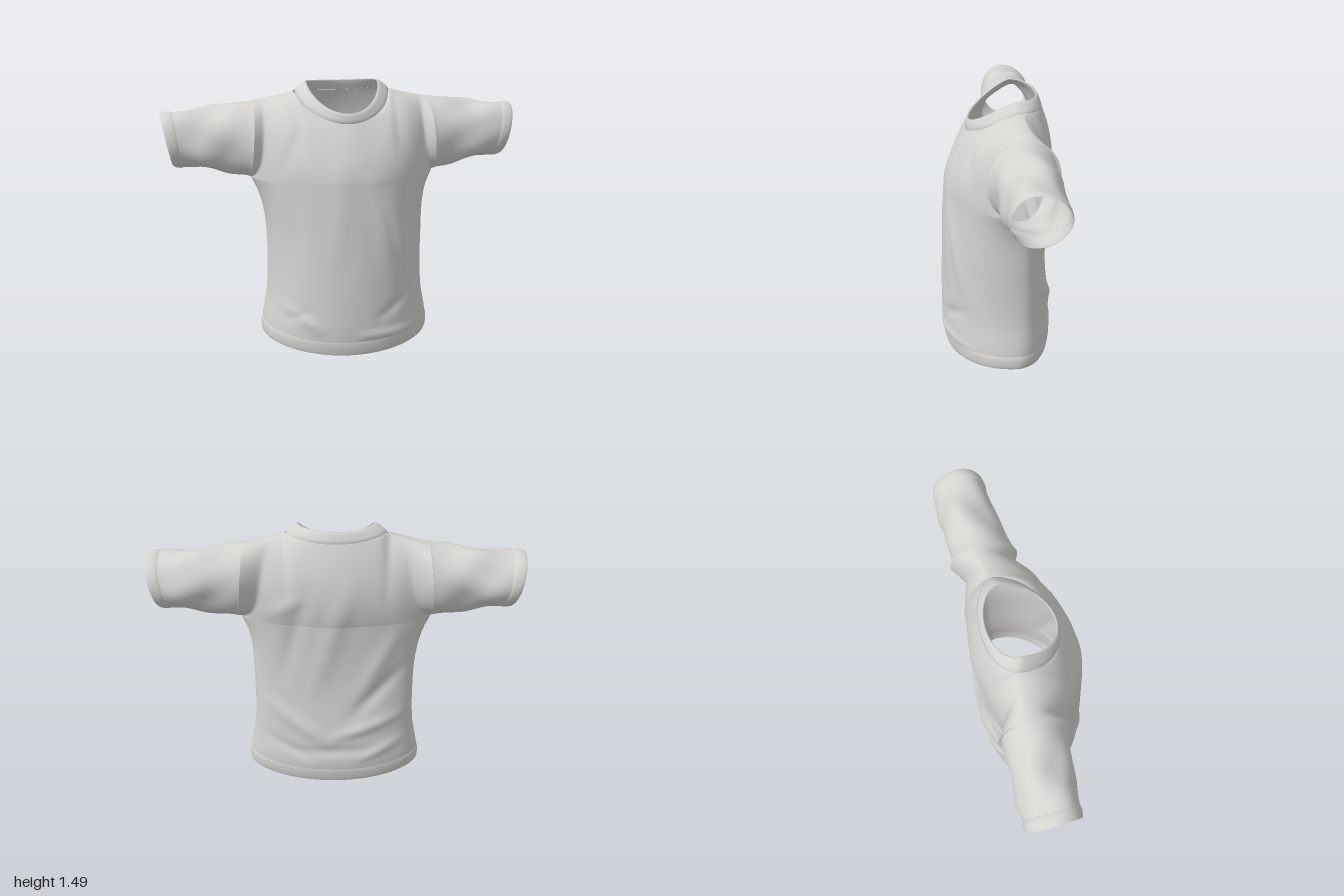
import * as THREE from 'three';

const { lerp, smoothstep, clamp } = THREE.MathUtils;
const PIT = 0.97;       // armpit height
const SPLIT = 0.6;      // share of the panel rows below the armpit
const NECK = 0.26;      // half width of the neckline

// Smooth curve through a few heights
const curve = (t, v) => {
  const c = new THREE.CubicInterpolant(t, v, 1);
  return (x) => c.evaluate(x)[0];
};
const heights = [0, 0.12, 0.3, 0.6, 0.8, 0.9, PIT];
const halfWidth = curve(heights, [0.49, 0.485, 0.455, 0.448, 0.458, 0.466, 0.472]);
const pitFlare = curve(heights, [0, 0, 0, 0, 0.004, 0.022, 0.05]);
const frontZ = curve(heights, [0.305, 0.318, 0.32, 0.31, 0.298, 0.29, 0.285]);
const backZ = curve(heights, [-0.295, -0.31, -0.295, -0.268, -0.27, -0.276, -0.281]);

// Cloth folds: x0, y0, x1, y1, width, height
const frontFolds = [
  [0.18, 0.95, 0.42, 0.2, 0.035, 0.022], [0.1, 1.05, 0.27, 0.25, 0.05, 0.012],
  [-0.3, 1.0, -0.33, 0.35, 0.05, -0.012], [0, 0.12, 0.46, 0.11, 0.022, 0.016],
  [0.12, 0.2, 0.4, 0.36, 0.03, -0.012], [-0.42, 0.3, -0.15, 0.13, 0.03, 0.016],
  [-0.4, 0.18, -0.22, 0.26, 0.025, -0.012], [-0.05, 1.15, -0.1, 0.5, 0.06, 0.008],
  [0.25, 1.3, 0.38, 1.0, 0.035, -0.01], [-0.25, 1.3, -0.38, 1.0, 0.035, -0.01],
];
const backFolds = [
  [-0.1, 1.3, 0.15, 0.5, 0.06, 0.014], [0.15, 1.25, 0.3, 0.6, 0.05, -0.016],
  [-0.38, 1.0, -0.1, 0.5, 0.05, 0.014], [-0.42, 0.75, -0.05, 0.38, 0.04, -0.016],
  [-0.42, 0.42, 0.05, 0.28, 0.035, 0.018], [0.43, 0.52, 0, 0.22, 0.04, 0.018],
  [0.42, 0.28, 0.1, 0.14, 0.03, -0.014], [-0.42, 0.26, -0.1, 0.14, 0.03, 0.014],
  [0.4, 1.0, 0.15, 1.15, 0.04, 0.01], [-0.25, 0.2, 0.25, 0.2, 0.03, -0.012],
];
function foldDepth(folds, x, y) {
  let sum = 0;
  for (const [x0, y0, x1, y1, w, h] of folds) {
    const dx = x1 - x0, dy = y1 - y0;
    const k = clamp(((x - x0) * dx + (y - y0) * dy) / (dx * dx + dy * dy), 0, 1);
    const d2 = (x - x0 - k * dx) ** 2 + (y - y0 - k * dy) ** 2;
    sum += h * Math.sin(Math.PI * k) * Math.exp(-d2 / (w * w));
  }
  return sum;
}

// Neck loops, widest at the shoulder seam: c is the cosine around, +1 at the front
const neckBase = (c) => ({
  y: 1.442 - (c > 0 ? 0.155 * c ** 1.2 : 0.025 * c * c),
  z: -0.1 + (c > 0 ? 0.263 : 0.137) * c,
});
const neckRim = (c) => ({
  y: 1.487 - (c > 0 ? 0.145 * c ** 1.2 : 0.012 * c * c),
  z: -0.085 + (c > 0 ? 0.238 : 0.127) * c,
});

// Top edge of a panel: neckline, then shoulder seam
function topEdge(x, side) {
  const ax = Math.abs(x);
  if (ax < NECK) return neckBase(side * Math.sqrt(1 - (ax / NECK) ** 2));
  const k = (ax - NECK) / (0.49 - NECK);
  return { y: lerp(1.442, 1.385, k ** 0.7), z: lerp(-0.1, -0.12, k) };
}

// Point on the front (side 1) or back (side -1) panel; u runs across, v upward
function panelPoint(side, u, v) {
  const phi = (u - 0.5) * Math.PI;
  const across = Math.sin(phi), deep = Math.max(Math.cos(phi), 0);
  const centreZ = side > 0 ? frontZ : backZ;
  const folds = side > 0 ? frontFolds : backFolds;
  const bowAt = (h) => deep ** (side > 0 ? 0.98 : lerp(1.05, 0.76, smoothstep(h, 0, 0.5)));
  const flare = across * Math.abs(across) ** 9;
  let x, y, z;
  if (v <= SPLIT) {
    y = lerp(0.038 * across * across, PIT, v / SPLIT);
    x = halfWidth(y) * across + pitFlare(y) * flare + 0.012 * (1 - smoothstep(y, 0.6, 0.95));
    z = -0.08 + (centreZ(y) + 0.08) * bowAt(y);
  } else {
    const w = (v - SPLIT) / (1 - SPLIT);
    const k = (1 - Math.cos(Math.PI * w)) / 2;
    const arch = Math.sin(Math.PI * w);
    x = lerp(0.472, 0.49, k) * across + lerp(0.05, 0, k) * flare;
    const top = topEdge(0.49 * across, side);
    y = lerp(PIT, top.y, k);
    const round = 1 - Math.sqrt(Math.max(1 - k * k, 0));
    const ease = lerp(k ** 1.6, round, smoothstep(Math.abs(x), 0.08, 0.36));
    z = lerp(-0.08 + (centreZ(PIT) + 0.08) * bowAt(PIT), top.z, ease);
    if (side < 0) z -= 0.032 * arch * arch * deep ** 0.76;
    // Ease the panel out to the rounded armhole edge
    const hole = 0.185 * arch * Math.abs(across) ** 2.5;
    const d = hole - Math.max(side * (z - lerp(-0.08, -0.12, k)), 0);
    z += side * (d + Math.sqrt(d * d + (0.2 * hole * deep) ** 2)) / 2;
  }
  const calm = 1 - smoothstep(y, 1.2, 1.36);
  z += side * deep * calm * foldDepth(folds, x, y);
  return [x, y, z];
}

// Armhole loop, shared by panels and sleeves; a = 0 at the top, then over the front
function armhole(a) {
  const front = a <= 0.5;
  const w = front ? 1 - 2 * a : 2 * a - 1;
  return panelPoint(front ? 1 : -1, 1, SPLIT + (1 - SPLIT) * w);
}

// Point on the left sleeve; a runs around, t runs outward
function sleevePoint(a, t, grow = 0) {
  const ang = a * Math.PI * 2, c = Math.cos(ang), s = Math.sin(ang);
  const start = armhole(a);
  const end = [0.968 + 0.03 * c, 1.183 + 0.145 * c + 0.008 * Math.sin(2 * ang), -0.13 + 0.141 * s];
  const p = [lerp(start[0], end[0], t), lerp(start[1], end[1], t ** 0.85), lerp(start[2], end[2], t ** 0.65)];
  const crease = 0.007 * Math.sin(ang * 2 + t * 7) + 0.006 * Math.sin(ang * 3 - t * 9 + 1)
    + 0.005 * Math.sin(ang * 5 + t * 6);
  const r = crease * Math.sin(Math.PI * t) + grow;
  return [p[0], p[1] + c * r, p[2] + s * r];
}

// Surface over a grid of nu by nv cells, optionally closed around
function surface(name, material, nu, nv, point, wrap = false) {
  const pos = [], index = [];
  const cols = wrap ? nu : nu + 1;
  for (let j = 0; j <= nv; j++)
    for (let i = 0; i < cols; i++) pos.push(...point(i / nu, j / nv));
  for (let j = 0; j < nv; j++)
    for (let i = 0; i < nu; i++) {
      const a = j * cols + i, b = j * cols + ((i + 1) % cols);
      index.push(a, b, b + cols, a, b + cols, a + cols);
    }
  const g = new THREE.BufferGeometry();
  g.setAttribute('position', new THREE.Float32BufferAttribute(pos, 3));
  g.setIndex(index);
  g.computeVertexNormals();
  const mesh = new THREE.Mesh(g, material);
  mesh.name = name;
  return mesh;
}

export function createModel() {
  const shirt = new THREE.Group();
  shirt.name = 'shirt';
  const cloth = new THREE.MeshStandardMaterial({ color: 0xd4d3d0, side: THREE.DoubleSide });
  cloth.name = 'light grey cloth';
  const band = (v) => Math.sqrt(Math.max(4 * v * (1 - v), 0));

  // Front and back panels with their hem bands
  for (const [side, label] of [[1, 'front'], [-1, 'back']]) {
    const across = (u) => (side > 0 ? u : 1 - u);
    shirt.add(surface(label + 'Panel', cloth, 80, 100, (u, v) => panelPoint(side, across(u), v)));
    shirt.add(surface(label + 'Hem', cloth, 80, 8, (u, v) => {
      const [x, y, z] = panelPoint(side, across(u), v * 0.05);
      const s = 1 + 0.012 * band(v);
      return [x * s, y, z * s];
    }));
  }

  // Sleeves and cuffs
  for (const [m, label] of [[1, 'left'], [-1, 'right']]) {
    const around = (a) => (m > 0 ? 1 - a : a) % 1;
    const flip = ([x, y, z]) => [x * m, y, z];
    shirt.add(surface(label + 'Sleeve', cloth, 64, 40, (a, t) => flip(sleevePoint(around(a), t)), true));
    shirt.add(surface(label + 'Cuff', cloth, 64, 8,
      (a, t) => flip(sleevePoint(around(a), lerp(0.87, 1, t), 0.006 * band(t))), true));
  }

  // Ribbed collar: outside from the seam to the rim, then down inside; [rise, thickness]
  const rows = [[0, -0.004], [0, 0.004], [0.3, 0.006], [0.7, 0.006], [0.95, 0.004], [1, -0.002],
    [0.92, -0.006], [0.5, -0.008], [0.05, -0.008]];
  shirt.add(surface('collar', cloth, 72, rows.length - 1, (a, v) => {
    const [rise, thick] = rows[Math.round(v * (rows.length - 1))];
    const s = Math.sin(a * Math.PI * 2), c = Math.cos(a * Math.PI * 2);
    const lo = neckBase(c), hi = neckRim(c);
    return [(lerp(NECK, 0.2, rise) + thick) * s, lerp(lo.y, hi.y, rise) + thick * 0.4,
      lerp(lo.z, hi.z, rise) + thick * c];
  }, true));

  return shirt;
}
